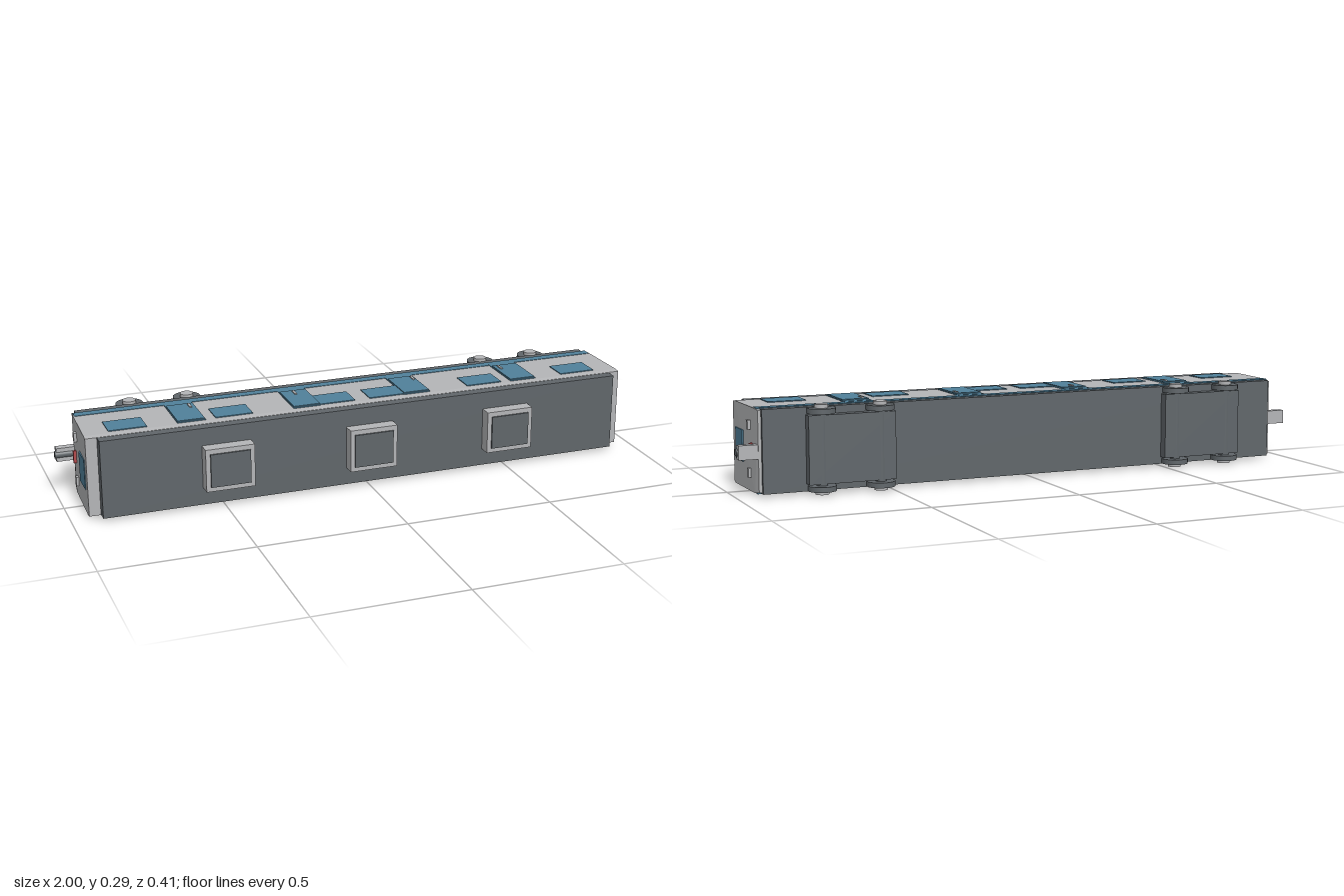
import * as THREE from 'three';

const mat = (name, color) => {
  const m = new THREE.MeshStandardMaterial({ color });
  m.name = name;
  return m;
};

export function createModel() {
  const light = mat('light grey', 0xb4b5b7);
  const dark = mat('dark grey', 0x60666a);
  const blue = mat('blue', 0x50809a);
  const red = mat('red', 0xb44a4c);
  const car = new THREE.Group();
  car.name = 'railCar';
  const midY = 0.1445;

  // Box from its limits, with y measured from the long axis of the car
  const box = (name, material, x0, x1, y0, y1, z0, z1) => {
    const mesh = new THREE.Mesh(new THREE.BoxGeometry(x1 - x0, y1 - y0, z1 - z0), material);
    mesh.position.set((x0 + x1) / 2, midY + (y0 + y1) / 2, (z0 + z1) / 2);
    mesh.name = name;
    car.add(mesh);
  };
  // The same box on either the upper or lower side
  const sideBox = (name, material, s, x0, x1, inner, outer, z0, z1) =>
    box(name, material, x0, x1, s > 0 ? inner : -outer, s > 0 ? outer : -inner, z0, z1);
  // The same box on either end
  const endBox = (name, material, s, inner, outer, y0, y1, z0, z1) =>
    box(name, material, s > 0 ? inner : -outer, s > 0 ? outer : -inner, y0, y1, z0, z1);

  // Body: profile run along x, with ends that slope in towards the floor
  const half = [[0.1325, 0.12], [0.135, 0.1], [0.135, -0.1], [0.13, -0.132]];
  const outline = [...half.map(([y, z]) => [-y, z]), ...half.slice().reverse()];
  const profile = new THREE.Shape(outline.map(([y, z]) => new THREE.Vector2(y, z)));
  const bodyGeo = new THREE.ExtrudeGeometry(profile, { depth: 1.884, bevelEnabled: false });
  bodyGeo.translate(0, 0, -0.942);
  bodyGeo.applyMatrix4(new THREE.Matrix4().makeBasis(
    new THREE.Vector3(0, 1, 0), new THREE.Vector3(0, 0, 1), new THREE.Vector3(1, 0, 0)));
  const p = bodyGeo.attributes.position;
  for (let i = 0; i < p.count; i++) {
    if (p.getZ(i) < -0.05) p.setX(i, Math.sign(p.getX(i)) * (p.getZ(i) < -0.11 ? 0.932 : 0.936));
  }
  bodyGeo.computeVertexNormals();
  const body = new THREE.Mesh(bodyGeo, light);
  body.position.y = midY;
  body.name = 'body';
  car.add(body);

  // Roof and floor
  box('roof', dark, -0.904, 0.904, -0.1315, 0.1315, 0.119, 0.155);
  box('floor', dark, -0.922, 0.922, -0.134, 0.134, -0.143, -0.115);

  // Roof ventilation units
  for (const x of [-0.492, 0, 0.492]) {
    box('roofUnit', light, x - 0.082, x + 0.082, -0.0725, 0.0725, 0.15, 0.198);
    box('roofUnitCover', dark, x - 0.067, x + 0.067, -0.0565, 0.0565, 0.197, 0.204);
  }

  // Doors, windows and stripe on both long sides
  const doors = [[-0.588, -0.56], [-0.195, -0.197], [0.195, 0.23], [0.588, 0.56]];
  const windows = [-0.797, -0.444, -0.089, 0.089, 0.444, 0.797];
  for (const s of [1, -1]) {
    sideBox('stripe', blue, s, -0.932, 0.932, 0.128, 0.1365, -0.115, -0.084);
    for (const x of windows) sideBox('sideWindow', blue, s, x - 0.063, x + 0.063, 0.133, 0.138, 0.001, 0.088);
    for (const [x, handle] of doors) {
      sideBox('doorPanel', blue, s, x - 0.047, x + 0.047, 0.132, 0.1375, -0.09, 0.092);
      sideBox('door', blue, s, x - 0.045, x + 0.045, 0.136, 0.141, -0.064, 0.087);
      sideBox('doorHandle', light, s, handle - 0.004, handle + 0.004, 0.139, 0.1445, -0.054, -0.021);
    }
  }

  // Bogies with axles and wheels
  const cylinder = (name, material, r, length, x, y, z) => {
    const mesh = new THREE.Mesh(new THREE.CylinderGeometry(r, r, length, 24), material);
    mesh.position.set(x, midY + y, z);
    mesh.name = name;
    car.add(mesh);
    return mesh;
  };
  for (const bx of [-0.636, 0.636]) {
    box('bogie', dark, bx - 0.145, bx + 0.145, -0.11, 0.11, -0.174, -0.14);
    for (const x of [bx - 0.098, bx + 0.098]) {
      cylinder('axle', dark, 0.018, 0.25, x, 0, -0.157);
      for (const s of [1, -1]) {
        cylinder('wheel', dark, 0.046, 0.017, x, s * 0.1235, -0.157);
        cylinder('wheelHub', light, 0.022, 0.012, x, s * 0.1375, -0.157);
      }
    }
  }

  // End windows, lamps and couplers
  for (const s of [1, -1]) {
    endBox('endWindow', blue, s, 0.938, 0.944, -0.051, 0.051, 0.011, 0.091);
    endBox('tailLight', red, s, 0.93, 0.946, -0.021, 0.021, -0.079, -0.07);
    for (const y of [-0.0765, 0.0765]) endBox('endLamp', light, s, 0.93, 0.946, y - 0.015, y + 0.015, -0.062, -0.045);
    endBox('coupler', light, s, 0.925, 0.995, -0.023, 0.023, -0.131, -0.106);
    cylinder('couplerPin', dark, 0.012, 0.07, s * 0.965, 0, -0.113).rotation.z = Math.PI / 2;
  }
  return car;
}
